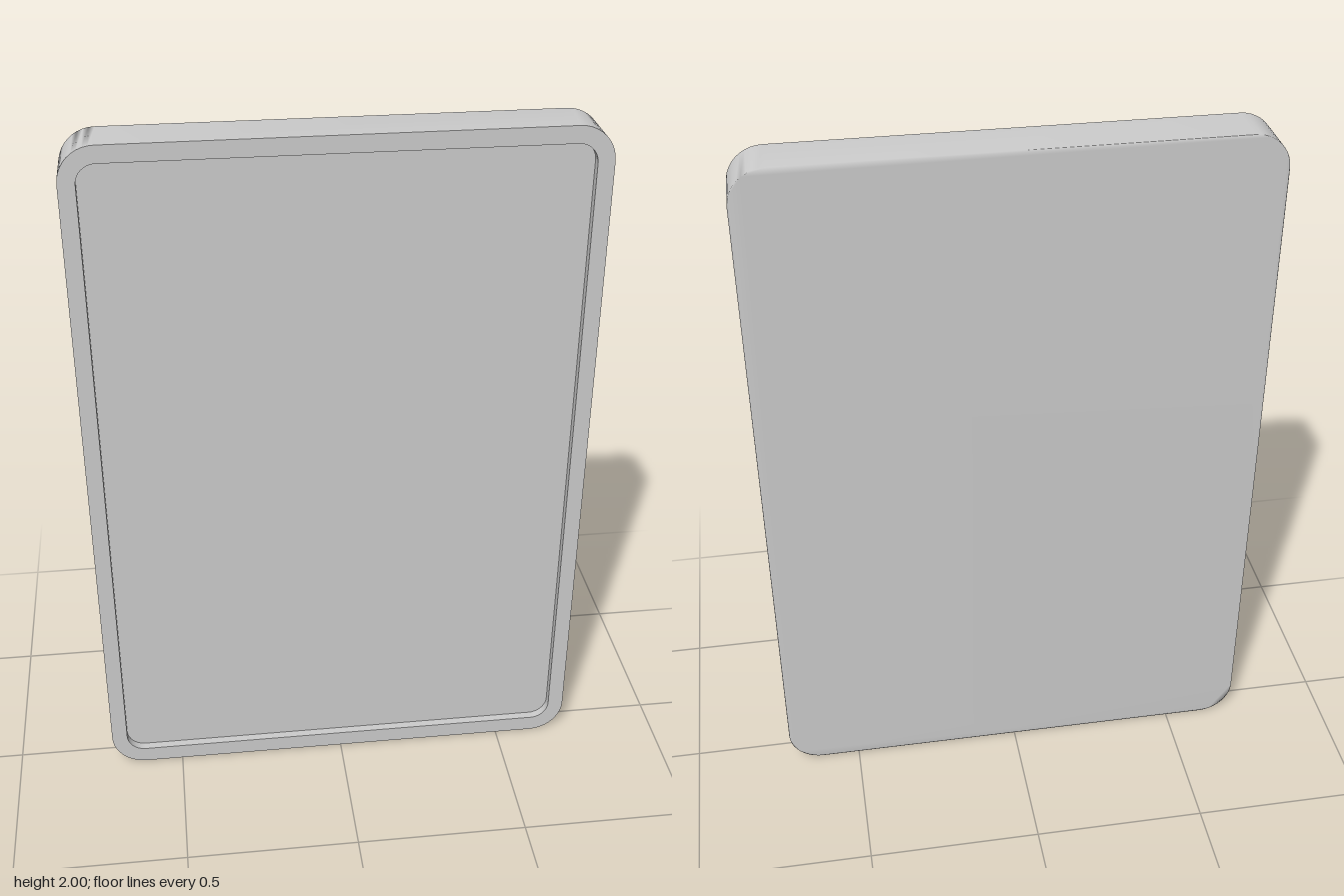
import * as THREE from 'three';

const HALF_DEPTH = 0.071;
const RECESS = 0.025;
const material = new THREE.MeshStandardMaterial({ color: 0xcccccc });

// Counter-clockwise points of a rounded rectangle centred on the origin
function roundedOutline(width, height, radius, steps = 10) {
  const points = [];
  const corners = [[1, 1], [-1, 1], [-1, -1], [1, -1]];
  corners.forEach(([sx, sy], i) => {
    for (let k = 0; k <= steps; k++) {
      const a = (i + k / steps) * Math.PI / 2;
      points.push(new THREE.Vector2(
        sx * (width / 2 - radius) + radius * Math.cos(a),
        sy * (height / 2 - radius) + radius * Math.sin(a)));
    }
  });
  return points;
}

// Band around an outline, optionally closed at the back with shared smooth normals
function shell(outline, zBack, zFront, { inward = false, cap = false } = {}) {
  const n = outline.length;
  const positions = [];
  for (const z of [zBack, zFront]) outline.forEach(p => positions.push(p.x, p.y, z));
  const index = [];
  for (let a = 0; a < n; a++) {
    const b = (a + 1) % n;
    if (inward) index.push(b, a, n + a, b, n + a, n + b);
    else index.push(a, b, n + b, a, n + b, n + a);
  }
  if (cap) {
    THREE.ShapeUtils.triangulateShape(outline, []).forEach(([a, b, c]) => index.push(c, b, a));
  }
  const geometry = new THREE.BufferGeometry();
  geometry.setAttribute('position', new THREE.Float32BufferAttribute(positions, 3));
  geometry.setIndex(index);
  geometry.computeVertexNormals();
  return geometry;
}

export function createModel() {
  const group = new THREE.Group();
  group.name = 'tablet';
  const add = (name, geometry, z = 0) => {
    const mesh = new THREE.Mesh(geometry, material);
    mesh.name = name;
    mesh.position.set(0, 1, z);
    group.add(mesh);
  };

  const outer = roundedOutline(1.424, 2, 0.1);
  const inner = roundedOutline(1.332, 1.904, 0.054);

  // Sides and back in one smooth skin
  add('backShell', shell(outer, -HALF_DEPTH, HALF_DEPTH, { cap: true }));

  // Flat frame around the screen
  const frame = new THREE.Shape(outer);
  frame.holes.push(new THREE.Path(inner));
  add('frontFrame', new THREE.ShapeGeometry(frame), HALF_DEPTH);

  // Sunken screen with its surrounding step
  add('screenEdge', shell(inner, HALF_DEPTH - RECESS, HALF_DEPTH, { inward: true }));
  add('screen', new THREE.ShapeGeometry(new THREE.Shape(inner)), HALF_DEPTH - RECESS);

  return group;
}
